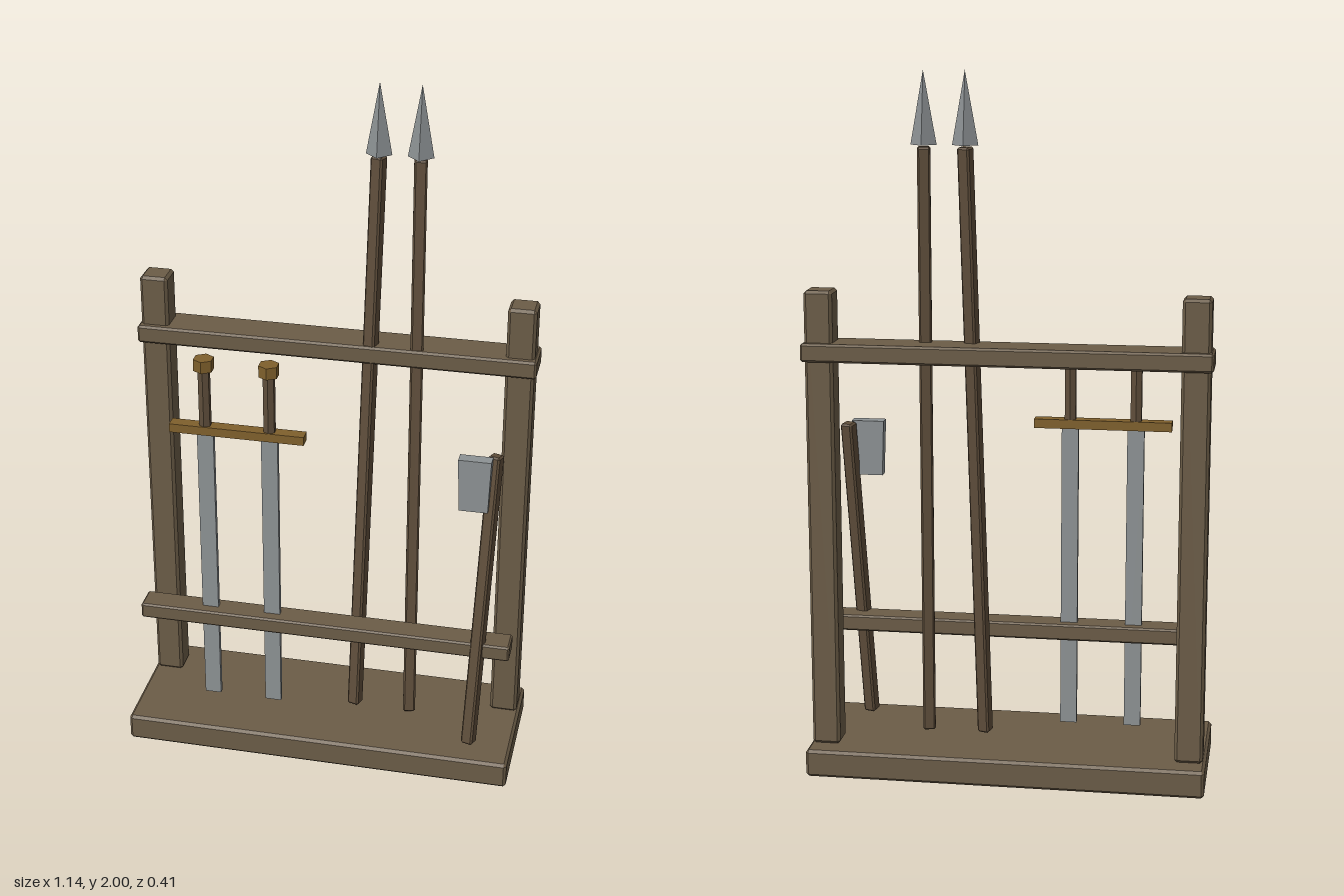
import * as THREE from 'three';
import { ConvexGeometry } from 'three/addons/geometries/ConvexGeometry.js';

const mat = (name, color) => Object.assign(new THREE.MeshStandardMaterial({ color, flatShading: true }), { name });

// Box with all edges chamfered by b
function chamferBox(w, h, d, b) {
  const pts = [];
  for (const x of [-1, 1]) for (const y of [-1, 1]) for (const z of [-1, 1]) {
    const X = w / 2, Y = h / 2, Z = d / 2;
    pts.push(
      new THREE.Vector3(x * X, y * (Y - b), z * (Z - b)),
      new THREE.Vector3(x * (X - b), y * Y, z * (Z - b)),
      new THREE.Vector3(x * (X - b), y * (Y - b), z * Z));
  }
  return new ConvexGeometry(pts);
}

export function createModel() {
  const wood = mat('wood', 0x6b5c47);
  const shaftWood = mat('shaftWood', 0x5f4e3b);
  const steel = mat('steel', 0x8d9294);
  const brass = mat('brass', 0x7f602c);

  const model = new THREE.Group();
  model.name = 'weaponRack';

  function add(parent, name, geometry, material, x, y, z) {
    const mesh = new THREE.Mesh(geometry, material);
    mesh.name = name;
    mesh.position.set(x, y, z);
    parent.add(mesh);
    return mesh;
  }
  function group(name) {
    const g = new THREE.Group();
    g.name = name;
    model.add(g);
    return g;
  }
  // Square pole leaning from point a to point b
  function pole(parent, name, a, b, width) {
    const d = b.clone().sub(a);
    const length = d.length();
    const m = a.clone().add(b).multiplyScalar(0.5);
    const mesh = add(parent, name, chamferBox(width, length, width, 0.005), shaftWood, m.x, m.y, m.z);
    mesh.rotation.set(Math.acos(d.y / length), Math.atan2(d.x, d.z), 0, 'YXZ');
  }

  // Rack frame
  const frame = group('frame');
  add(frame, 'base', chamferBox(1.14, 0.08, 0.41, 0.008), wood, 0, 0.04, 0);
  for (const [name, s] of [['leftPost', 1], ['rightPost', -1]])
    add(frame, name, chamferBox(0.08, 1.32, 0.08, 0.008), wood, s * 0.522, 0.74, -0.105);
  add(frame, 'upperRail', chamferBox(1.14, 0.052, 0.117, 0.006), wood, 0, 1.229, -0.105);
  add(frame, 'lowerRail', chamferBox(1.1, 0.047, 0.078, 0.005), wood, 0, 0.393, 0.062);

  // Swords
  for (const x of [-0.345, -0.158]) {
    const sword = group('sword');
    sword.position.set(x, 0, 0.06);
    add(sword, 'blade', new THREE.BoxGeometry(0.048, 0.885, 0.016), steel, 0, 0.5525, 0);
    add(sword, 'guard', new THREE.BoxGeometry(0.204, 0.026, 0.037), brass, 0, 1.006, 0);
    add(sword, 'grip', new THREE.CylinderGeometry(0.018, 0.018, 0.175, 6), shaftWood, 0, 1.105, 0);
    add(sword, 'pommel', new THREE.CylinderGeometry(0.03, 0.03, 0.035, 6), brass, 0, 1.209, 0);
  }

  // Spears
  for (const [x0, x1] of [[0.08, 0.113], [0.246, 0.227]]) {
    const spear = group('spear');
    pole(spear, 'spearShaft', new THREE.Vector3(x0, 0.09, 0), new THREE.Vector3(x1, 1.795, -0.106), 0.036);
    add(spear, 'spearHead', new THREE.ConeGeometry(0.036, 0.2, 4), steel, x1, 1.9, -0.106);
  }

  // Axe with a tapered head
  const axe = group('axe');
  pole(axe, 'axeHandle', new THREE.Vector3(0.446, 0.09, 0.126), new THREE.Vector3(0.479, 0.995, 0.022), 0.036);
  const r = Math.SQRT1_2;
  const head = new THREE.CylinderGeometry(r, r * 0.88, 0.16, 4).rotateY(Math.PI / 4);
  head.scale(0.093, 1, 0.036);
  add(axe, 'axeHead', head, steel, 0.427, 0.918, 0.059);

  return model;
}
